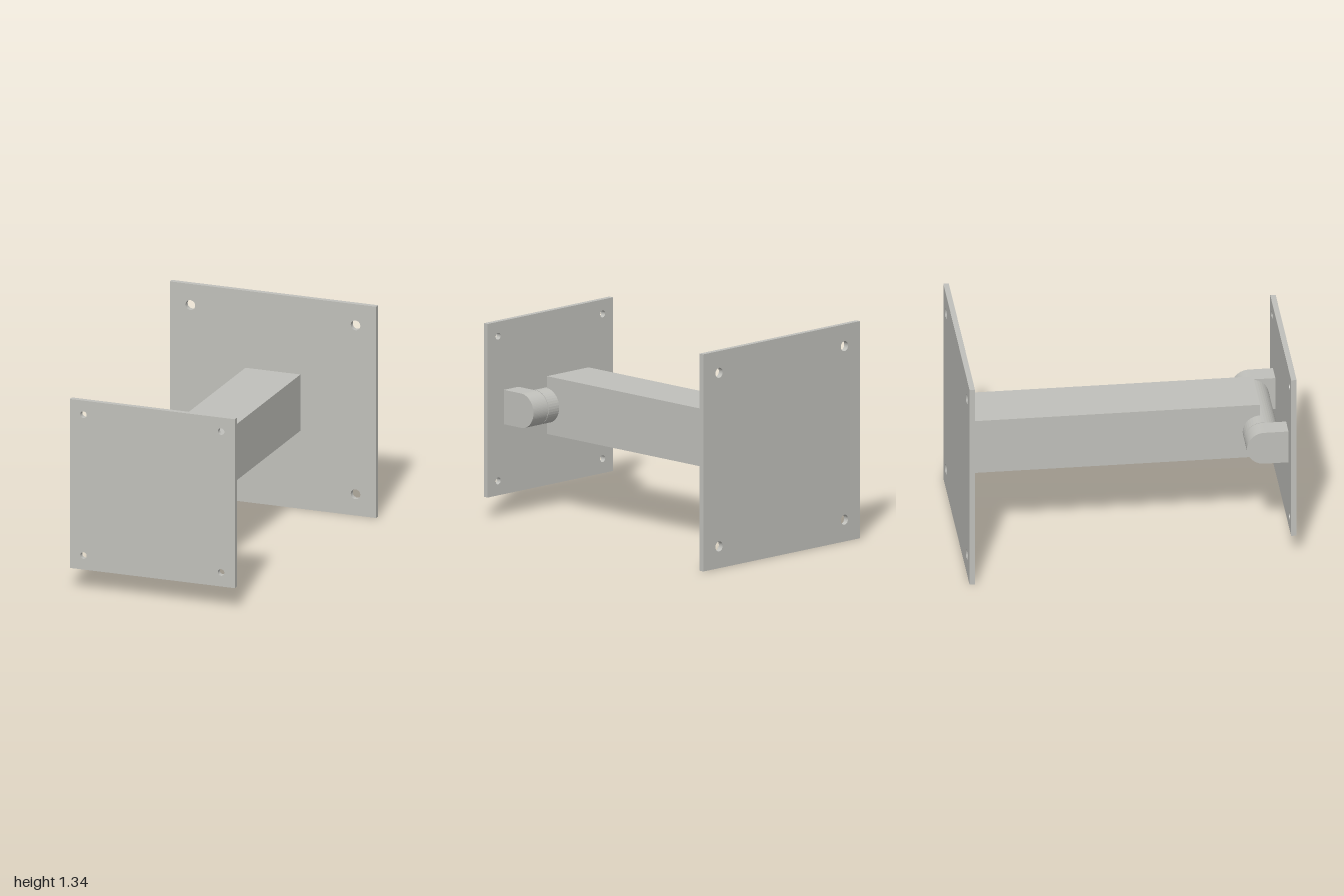
import * as THREE from 'three';

const CY = 0.669; // height of the arm axis
const PIVOT_Z = 0.821, PIVOT_R = 0.106;

export function createModel() {
  const group = new THREE.Group();
  const steel = new THREE.MeshStandardMaterial({ color: 0xc0c0bb, flatShading: true });
  steel.name = 'steel grey';

  const add = (name, geometry, x, y, z) => {
    const mesh = new THREE.Mesh(geometry, steel);
    mesh.name = name;
    mesh.position.set(x, y, z);
    group.add(mesh);
    return mesh;
  };

  // Square plate with a hole near each corner
  const plate = (half, holeOffset, holeRadius, depth) => {
    const shape = new THREE.Shape();
    shape.moveTo(-half, -half).lineTo(half, -half).lineTo(half, half).lineTo(-half, half).closePath();
    for (const sx of [-1, 1]) for (const sy of [-1, 1]) {
      const hole = new THREE.Path();
      hole.absarc(sx * holeOffset, sy * holeOffset, holeRadius, 0, Math.PI * 2, true);
      shape.holes.push(hole);
    }
    return new THREE.ExtrudeGeometry(shape, { depth, bevelEnabled: false, curveSegments: 24 });
  };
  add('backPlate', plate(0.669, 0.535, 0.031, 0.033), 0, CY, -1);
  add('frontPlate', plate(0.535, 0.446, 0.021, 0.033), 0, CY, 0.967);

  // Square arm
  const armFront = 0.82, armBack = -0.967;
  add('arm', new THREE.BoxGeometry(0.356, 0.356, armFront - armBack), 0, 0.672, (armFront + armBack) / 2);

  // Pivot barrel across the end of the arm
  const barrel = new THREE.CylinderGeometry(PIVOT_R, PIVOT_R, 0.536, 40);
  barrel.rotateZ(Math.PI / 2);
  add('pivotBarrel', barrel, 0, 0.671, PIVOT_Z);

  // Round-ended lugs joining the barrel to the front plate
  const reach = 0.967 - PIVOT_Z, lugWidth = 0.125;
  const profile = new THREE.Shape();
  profile.moveTo(-reach, -PIVOT_R).lineTo(0, -PIVOT_R);
  profile.absarc(0, 0, PIVOT_R, -Math.PI / 2, Math.PI / 2, false);
  profile.lineTo(-reach, PIVOT_R).closePath();
  const lug = new THREE.ExtrudeGeometry(profile, { depth: lugWidth, bevelEnabled: false, curveSegments: 20 });
  lug.translate(0, 0, -lugWidth / 2).rotateY(Math.PI / 2);
  add('rightLug', lug, -0.335, 0.671, PIVOT_Z);
  add('leftLug', lug, 0.335, 0.671, PIVOT_Z);

  return group;
}
